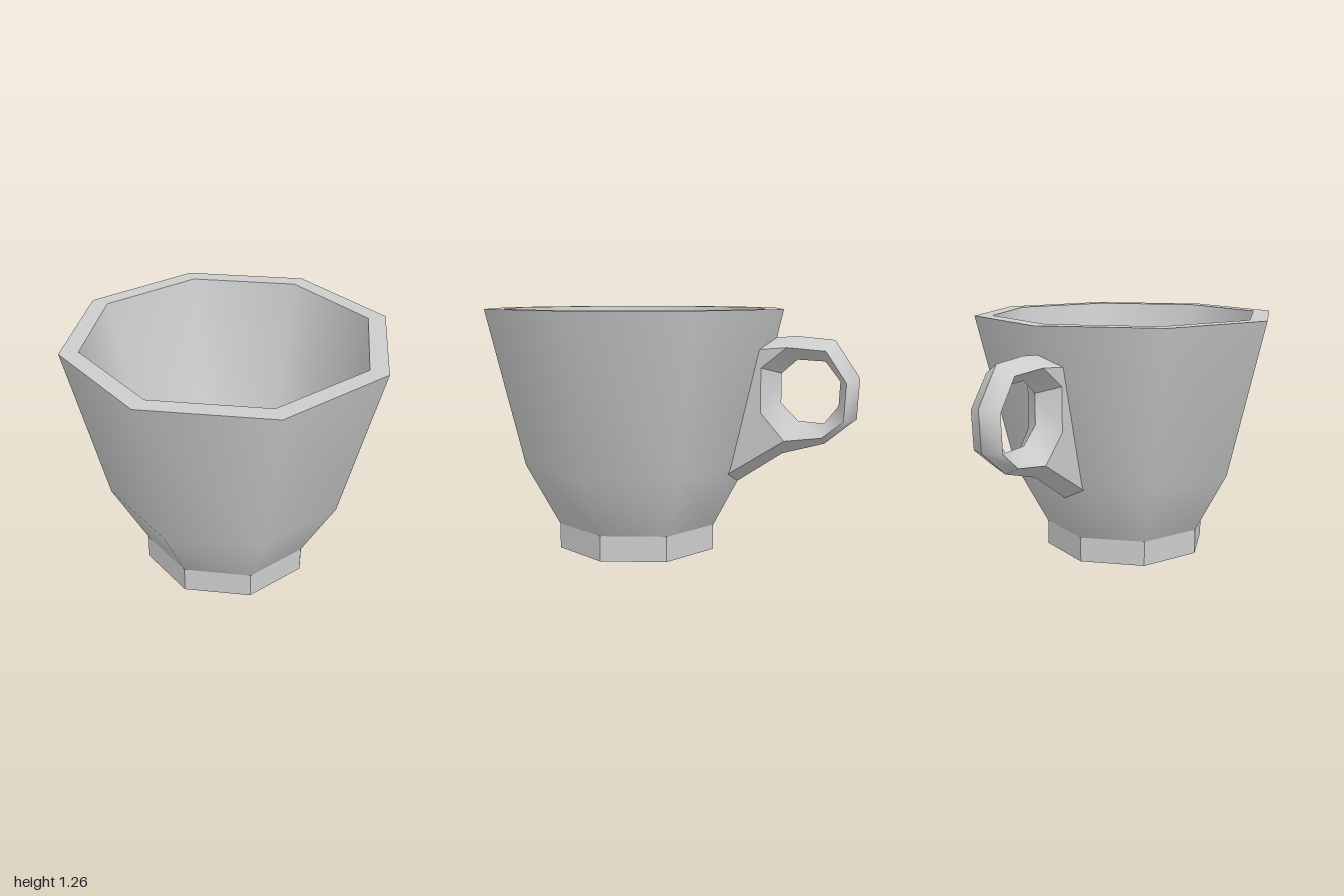
import * as THREE from 'three';

const china = new THREE.MeshStandardMaterial({ color: 0xcccccc });
china.name = 'pale grey china';

const CUP_Z = 0.19;

// Eight-sided turned surface; the profile is [radius, height]
function turned(name, profile, flat = false) {
  let geo = new THREE.LatheGeometry(profile.map(([r, y]) => new THREE.Vector2(r, y)), 8);
  if (flat) {
    geo = geo.toNonIndexed();
    geo.computeVertexNormals();
  }
  const mesh = new THREE.Mesh(geo, china);
  mesh.name = name;
  mesh.position.z = CUP_Z;
  return mesh;
}

// Band of quads between two chains of points, smooth along its length, with its mirror in x
function mirroredBand(name, outer, inner) {
  const group = new THREE.Group();
  group.name = name;
  const n = outer.length;
  for (const side of [1, -1]) {
    const pos = [...outer, ...inner].flatMap(([x, y, z]) => [x * side, y, z]);
    const index = [];
    for (let i = 0; i < n - 1; i++) {
      const tris = [[i, n + i, n + i + 1], [i, n + i + 1, i + 1]];
      for (const [a, b, c] of tris) index.push(...(side > 0 ? [a, b, c] : [a, c, b]));
    }
    const geo = new THREE.BufferGeometry();
    geo.setAttribute('position', new THREE.Float32BufferAttribute(pos, 3));
    geo.setIndex(index);
    geo.computeVertexNormals();
    const mesh = new THREE.Mesh(geo, china);
    mesh.name = name + (side > 0 ? 'Left' : 'Right');
    group.add(mesh);
  }
  return group;
}

function createHandle() {
  const handle = new THREE.Group();
  handle.name = 'handle';

  // Widest edge of the ring, from its upper front corner round over the top
  const rim = [
    [0.102, 0.98, -0.535], [0.092, 1.083, -0.66], [0.082, 1.07, -0.85], [0.085, 0.92, -0.955],
    [0.085, 0.735, -0.945], [0.082, 0.65, -0.84], [0.092, 0.623, -0.655], [0.102, 0.76, -0.535],
  ];
  // Narrowest line of the finger hole
  const hole = [
    [0, 0.95, -0.61], [0, 1.02, -0.69], [0, 1.015, -0.83], [0, 0.92, -0.905],
    [0, 0.8, -0.9], [0, 0.71, -0.83], [0, 0.715, -0.7], [0, 0.8, -0.61],
  ];
  // Ridge along the back of the handle
  const ridge = [
    [0, 1.125, -0.56], [0, 1.135, -0.69], [0, 1.12, -0.875], [0, 0.94, -1],
    [0, 0.74, -0.99], [0, 0.61, -0.835], [0, 0.545, -0.62], [0, 0.38, -0.38],
  ];
  // Corners where the web joins the cup
  const top = [0.105, 1.07, -0.515];
  const low = [0.105, 0.43, -0.36];

  handle.add(
    mirroredBand('handleBack', ridge, [top, ...rim.slice(1, 7), low]),
    mirroredBand('fingerHole', [...rim, rim[0]], [...hole, hole[0]]),
    mirroredBand('handleWeb', [low, low, top, top], [rim[6], rim[7], rim[0], rim[1]]),
  );
  return handle;
}

export function createModel() {
  const cup = new THREE.Group();
  cup.name = 'cup';
  cup.add(
    turned('footUnderside', [[0, 0], [0.44, 0]], true),
    turned('foot', [[0.44, 0], [0.44, 0.132]], true),
    turned('outerWall', [[0.44, 0.132], [0.615, 0.46], [0.805, 1.265]]),
    turned('lip', [[0.805, 1.265], [0.713, 1.265]], true),
    turned('innerWall', [[0.713, 1.265], [0.535, 0.49], [0.335, 0.15]]),
    turned('innerFloor', [[0.335, 0.15], [0, 0.15]], true),
    createHandle(),
  );
  return cup;
}
